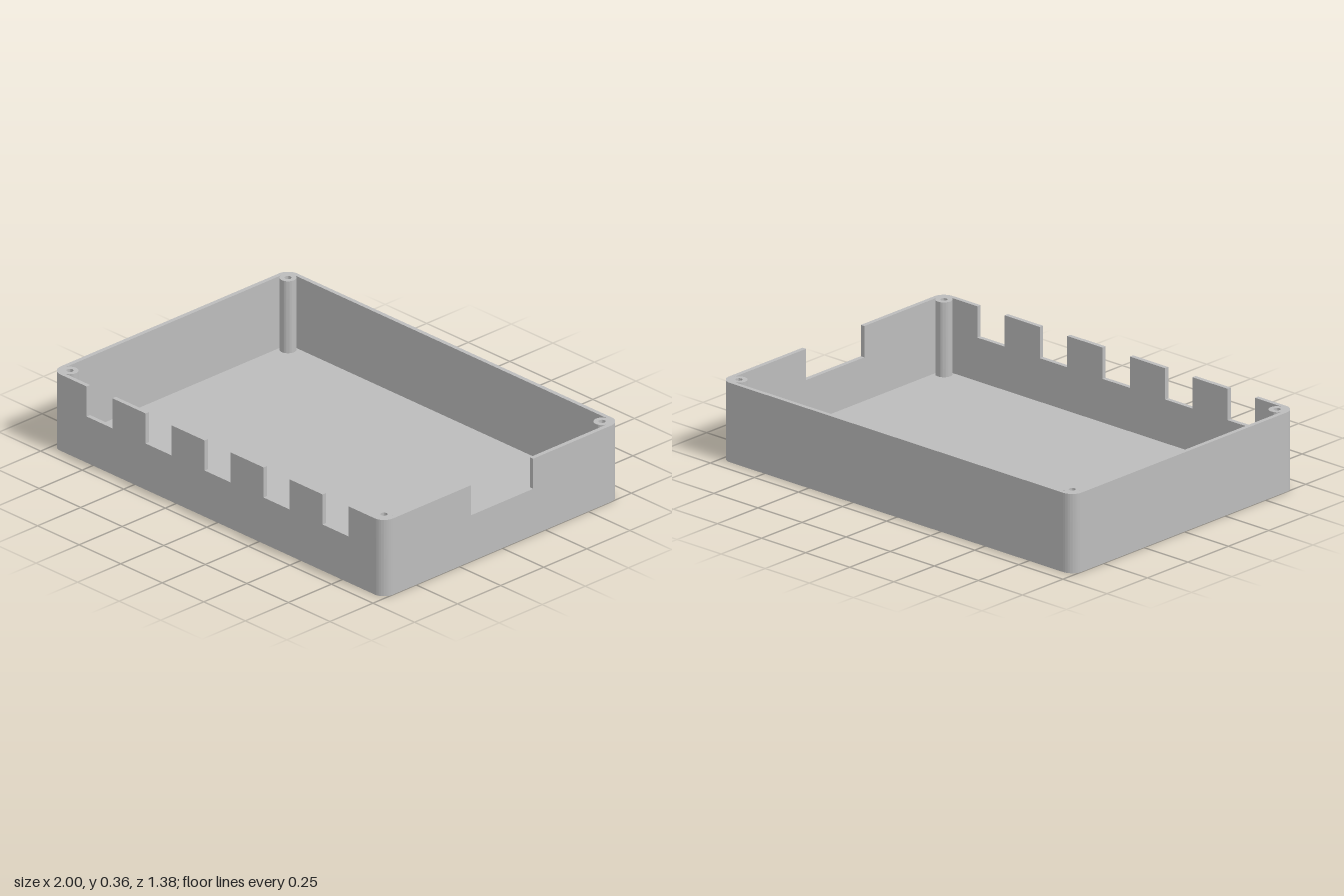
import * as THREE from 'three';
import { toCreasedNormals } from 'three/addons/utils/BufferGeometryUtils.js';

const W = 1, D = 0.688, H = 0.355;   // half width, half depth, height
const T = 0.02, R = 0.055;           // wall thickness, outer corner radius
const SILL = 0.215;                  // bottom of the cut-outs

const plastic = new THREE.MeshStandardMaterial({ color: 0xbcbcbc });
plastic.name = 'grey plastic';

function extrude(shape, depth) {
  const geometry = new THREE.ExtrudeGeometry(shape, { depth, bevelEnabled: false, curveSegments: 24 });
  return toCreasedNormals(geometry, 0.6);
}

// Extrudes a plan shape upward from y = 0
const rise = (shape, height) => extrude(shape, height).rotateX(-Math.PI / 2);

// Straight wall with notches cut down from its top edge, each [centre, width]
function wallPanel(half, notches) {
  const s = new THREE.Shape();
  s.moveTo(-half, H);
  s.lineTo(-half, 0);
  s.lineTo(half, 0);
  s.lineTo(half, H);
  for (const [c, w] of [...notches].reverse()) {
    s.lineTo(c + w / 2, H);
    s.lineTo(c + w / 2, SILL);
    s.lineTo(c - w / 2, SILL);
    s.lineTo(c - w / 2, H);
  }
  s.closePath();
  return extrude(s, T);
}

function roundedRect(w, d, r) {
  const s = new THREE.Shape();
  s.absarc(w - r, d - r, r, 0, Math.PI / 2);
  s.absarc(-w + r, d - r, r, Math.PI / 2, Math.PI);
  s.absarc(-w + r, -d + r, r, Math.PI, Math.PI * 1.5);
  s.absarc(w - r, -d + r, r, Math.PI * 1.5, Math.PI * 2);
  s.closePath();
  return s;
}

export function createModel() {
  const model = new THREE.Group();
  model.name = 'enclosureTray';

  function add(name, geometry, x = 0, y = 0, z = 0, turn = 0) {
    const mesh = new THREE.Mesh(geometry, plastic);
    mesh.name = name;
    mesh.position.set(x, y, z);
    mesh.rotation.y = turn;
    model.add(mesh);
  }

  // Floor fitted inside the walls
  add('floor', rise(roundedRect(W - T, D - T, R - T), T));

  // Walls: five port cut-outs in front, one wide cut-out on the +x side
  const ports = [-0.71, -0.355, 0, 0.355, 0.71].map((x) => [x, 0.155]);
  add('frontWall', wallPanel(W - R, ports), 0, 0, D - T);
  add('backWall', wallPanel(W - R, []), 0, 0, -D);
  add('leftWall', wallPanel(D - R, [[0, 0.36]]), W - T, 0, 0, Math.PI / 2);
  add('rightWall', wallPanel(D - R, []), -W, 0, 0, Math.PI / 2);

  // Rounded corners and screw posts share the same centres
  const corner = new THREE.Shape();
  corner.absarc(0, 0, R, 0, Math.PI / 2, false);
  corner.absarc(0, 0, R - T, Math.PI / 2, 0, true);
  corner.closePath();
  const cornerGeometry = rise(corner, H);

  const ring = new THREE.Shape();
  ring.absarc(0, 0, 0.036, 0, Math.PI * 2, false);
  const hole = new THREE.Path();
  hole.absarc(0, 0, 0.015, 0, Math.PI * 2, true);
  ring.holes.push(hole);
  const postGeometry = rise(ring, H - T);

  [[1, -1], [-1, -1], [-1, 1], [1, 1]].forEach(([sx, sz], i) => {
    const x = sx * (W - R), z = sz * (D - R);
    add('cornerWall', cornerGeometry, x, 0, z, i * Math.PI / 2);
    add('screwPost', postGeometry, x, T, z);
  });

  return model;
}
